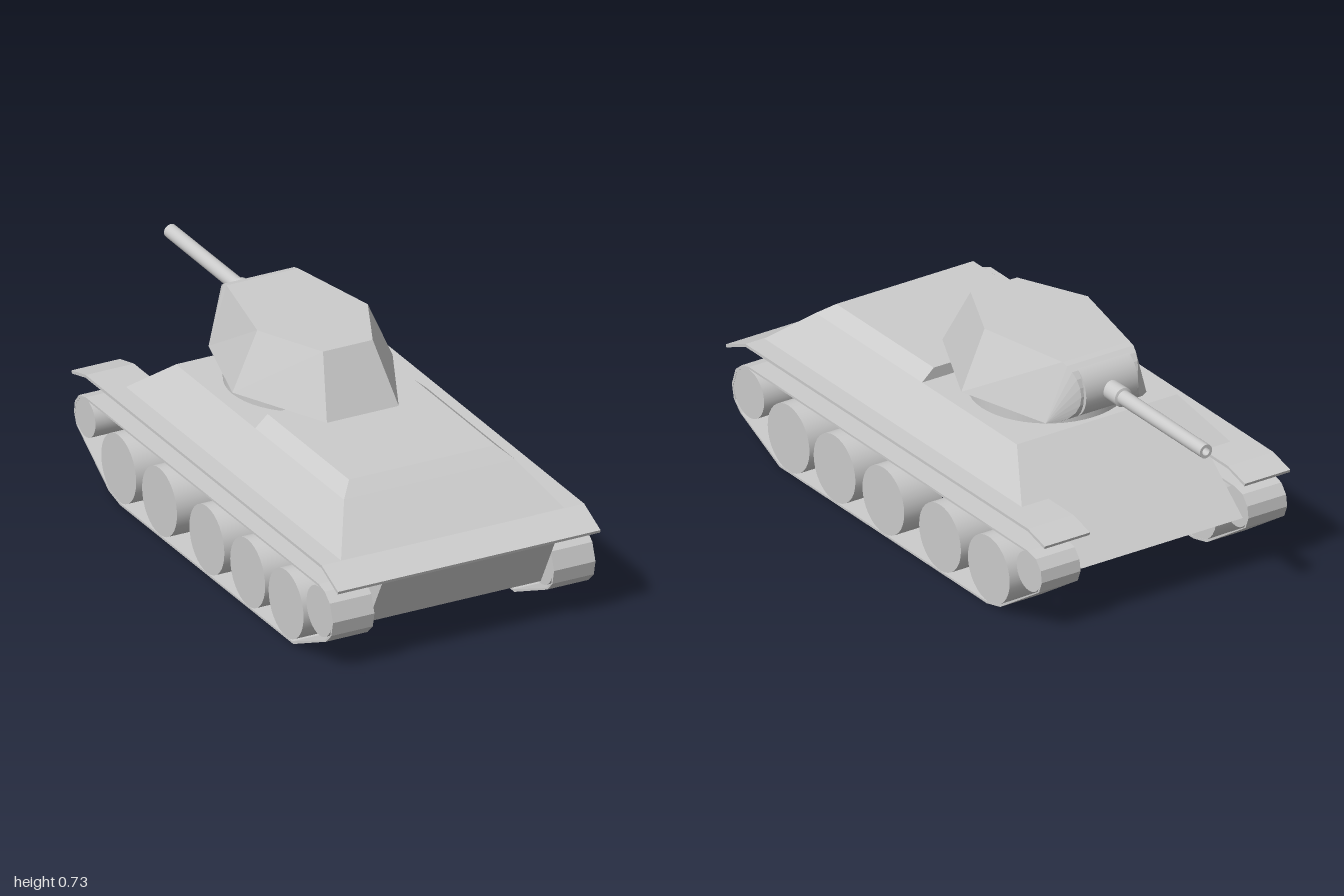
import * as THREE from 'three';

const metal = new THREE.MeshStandardMaterial({ color: 0xcccccc, side: THREE.DoubleSide });

function part(name, geometry, parent) {
  const mesh = new THREE.Mesh(geometry, metal);
  mesh.name = name;
  parent.add(mesh);
  return mesh;
}

// Flat-faced solid through loops of [x, y, z] points, capped at both ends
function loft(loops) {
  const pos = [];
  const tri = (a, b, c) => pos.push(...a, ...b, ...c);
  const n = loops[0].length;
  for (let k = 0; k + 1 < loops.length; k++) {
    for (let i = 0; i < n; i++) {
      const j = (i + 1) % n, lo = loops[k], hi = loops[k + 1];
      tri(lo[i], lo[j], hi[j]);
      tri(lo[i], hi[j], hi[i]);
    }
  }
  const first = loops[0], last = loops[loops.length - 1];
  for (let i = 1; i + 1 < n; i++) {
    tri(first[0], first[i + 1], first[i]);
    tri(last[0], last[i], last[i + 1]);
  }
  const g = new THREE.BufferGeometry();
  g.setAttribute('position', new THREE.Float32BufferAttribute(pos, 3));
  g.computeVertexNormals();
  return g;
}

const rect = (x, y, zBack, zFront) => [[x, y, zBack], [x, y, zFront], [-x, y, zFront], [-x, y, zBack]];

// Mirrored loop at height y from half the outline as [x, z], back to front
const mirrored = (half, y) => [
  ...half.map(([x, z]) => [x, y, z]),
  ...half.slice().reverse().map(([x, z]) => [-x, y, z]),
];

// Side profile of [z, y] points extruded from x0 to x1
function sideExtrude(points, x0, x1, hole) {
  const toVec = ([z, y]) => new THREE.Vector2(z, y);
  const shape = new THREE.Shape(points.map(toVec));
  if (hole) shape.holes.push(new THREE.Path(hole.map(toVec)));
  const g = new THREE.ExtrudeGeometry(shape, { depth: x1 - x0, bevelEnabled: false });
  return g.rotateY(-Math.PI / 2).translate(x1, 0, 0);
}

// Cylinder lying along x
const axle = (r, x0, x1, y, z) =>
  new THREE.CylinderGeometry(r, r, x1 - x0, 32).rotateZ(Math.PI / 2).translate((x0 + x1) / 2, y, z);

export function createModel() {
  const model = new THREE.Group();
  model.name = 'tank';

  // Hull: lower tub, sloped upper body and raised engine deck
  const hull = new THREE.Group();
  hull.name = 'hull';
  model.add(hull);
  part('lowerHull', sideExtrude(
    [[0.89, 0.36], [1.0, 0.315], [0.9, 0.13], [-0.62, 0.13], [-0.755, 0.2], [-0.555, 0.36]],
    -0.3125, 0.3125), hull);
  part('upperHull', loft([rect(0.405, 0.36, 0.89, -0.555), rect(0.31, 0.49, 0.735, -0.39)]), hull);
  part('engineDeck', loft([rect(0.31, 0.49, 0.735, 0.14), rect(0.265, 0.53, 0.685, 0.14)]), hull);

  // Fenders, tracks and wheels on each side
  const fender = [
    [1.0, 0.315], [0.89, 0.362], [-0.69, 0.362], [-0.785, 0.338],
    [-0.782, 0.328], [-0.69, 0.352], [0.89, 0.352], [0.997, 0.305],
  ];
  const track = [
    [0.7, 0.003], [0.92, 0.105], [0.955, 0.14], [0.966, 0.19], [0.945, 0.25], [0.91, 0.278], [0.87, 0.288],
    [-0.69, 0.283], [-0.735, 0.272], [-0.762, 0.24], [-0.768, 0.2], [-0.752, 0.16], [-0.535, 0.018], [-0.46, 0],
  ];
  const inner = track.map(([z, y]) => [0.1 + (z - 0.1) * 0.991, 0.145 + (y - 0.145) * 0.95]);
  const roadWheels = [0.65, 0.393, 0.12, -0.197, -0.47];
  for (const [side, x0, x1] of [['left', 0.325, 0.475], ['right', -0.475, -0.325]]) {
    const gear = new THREE.Group();
    gear.name = side + 'RunningGear';
    model.add(gear);
    part('fender', sideExtrude(fender, side === 'left' ? 0.3 : x0, side === 'left' ? x1 : -0.3), gear);
    part('track', sideExtrude(track, x0, x1, inner), gear);
    roadWheels.forEach((z) => part('roadWheel', axle(0.117, x0 + 0.001, x1 - 0.001, 0.125, z), gear));
    part('driveWheel', axle(0.085, x0 + 0.001, x1 - 0.001, 0.193, 0.872), gear);
    part('idlerWheel', axle(0.068, x0 + 0.001, x1 - 0.001, 0.211, -0.694), gear);
  }
  // Sloped plate joining the fenders at the rear
  part('rearApron', sideExtrude([[0.89, 0.362], [0.89, 0.352], [0.997, 0.305], [1.0, 0.315]], -0.3, 0.3), hull);

  // Turret
  const turret = new THREE.Group();
  turret.name = 'turret';
  model.add(turret);
  part('turretRing', new THREE.CylinderGeometry(0.255, 0.255, 0.045, 48).translate(0, 0.5095, -0.115), turret);
  part('turretBody', loft([
    mirrored([[0.13, 0.287], [0.29, -0.05], [0.195, -0.385]], 0.53),
    mirrored([[0.09, 0.187], [0.2, -0.05], [0.13, -0.385]], 0.73),
  ]), turret);

  // Rounded nose with tapering cheeks
  const nose = [];
  for (let i = 0; i <= 10; i++) {
    const a = -Math.PI / 2 + (i / 10) * Math.PI;
    const edge = THREE.MathUtils.lerp(0.195, 0.13, i / 10);
    const x = THREE.MathUtils.lerp(edge, 0.11, Math.cos(a));
    nose.push([x, 0.63 + 0.1 * Math.sin(a), -0.385 - 0.077 * Math.cos(a)]);
  }
  part('turretNose', loft([nose.map(([x, y, z]) => [-x, y, z]), nose]), turret);
  part('mantlet', axle(0.097, -0.1, 0.1, 0.63, -0.378), turret);

  // Gun with a collar and a hollow muzzle, turned around its own axis
  const tube = [[0.033, 0.45], [0.033, 0.537], [0.025, 0.54], [0.024, 1.0], [0.014, 1.0], [0.014, 0.92], [0, 0.92]];
  // Separate sections keep the edges sharp
  for (let i = 0; i + 1 < tube.length; i++) {
    const pair = [tube[i], tube[i + 1]].map(([r, l]) => new THREE.Vector2(r, l));
    const g = new THREE.LatheGeometry(pair, 24).rotateX(-Math.PI / 2).translate(0, 0.63, 0);
    part(i < 2 ? 'gunCollar' : 'gunBarrel', g, turret);
  }
  return model;
}
